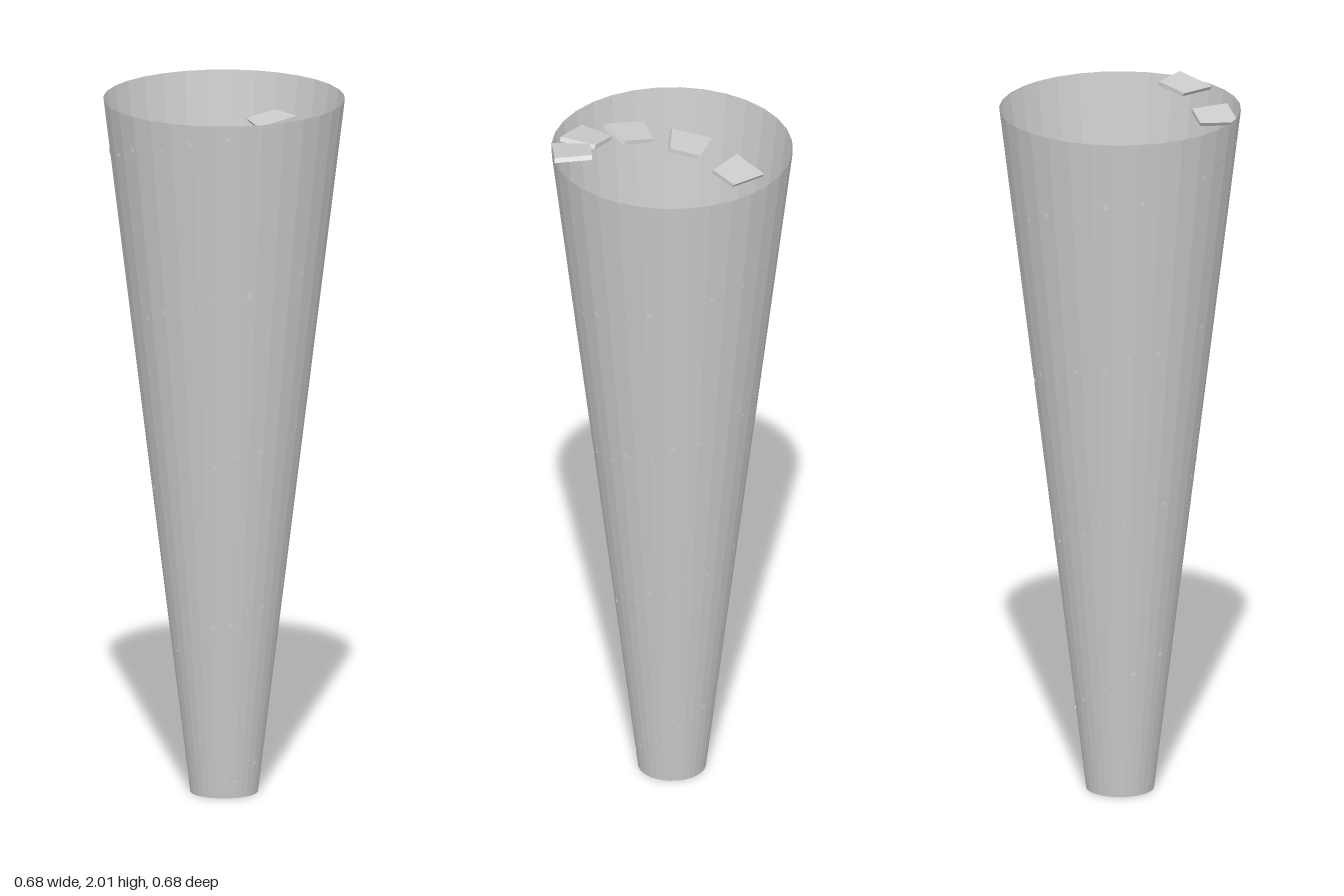
import * as THREE from 'three';

const TOP = 1.99, R_TOP = 0.338, R_BOTTOM = 0.095;
const STEPS = 43, RISE = 0.0462, TURN = THREE.MathUtils.degToRad(34.72);
const coneRadius = (y) => R_BOTTOM + (R_TOP - R_BOTTOM) * y / TOP;

// Wedge tread: a box reshaped so it widens outward, slopes along the spiral and leans at the base
function treadGeometry(radius) {
  const outer = radius * 0.984, inner = Math.max(outer - 0.106, 0.004);
  const geometry = new THREE.BoxGeometry(1, 1, 1);
  const p = geometry.attributes.position;
  for (let i = 0; i < p.count; i++) {
    const isOuter = p.getX(i) > 0, isTop = p.getY(i) > 0;
    const halfWidth = isOuter ? outer * 0.18 : inner * 0.2;
    const across = Math.sign(p.getZ(i)) * halfWidth;
    p.setXYZ(
      i,
      isOuter ? outer : inner,
      (isTop ? 0.003 : -0.008) - across * 0.17,
      across - (isTop ? 0 : 0.008)
    );
  }
  geometry.computeVertexNormals();
  return geometry;
}

export function createModel() {
  const group = new THREE.Group();
  const shellMaterial = new THREE.MeshStandardMaterial({
    color: 0xcccccc, flatShading: true, side: THREE.DoubleSide,
  });
  const treadMaterial = new THREE.MeshStandardMaterial({ color: 0xcccccc, flatShading: true });

  // Open-topped tapering shell
  const shell = new THREE.Mesh(
    new THREE.CylinderGeometry(R_TOP, R_BOTTOM, TOP, 32, 1, true), shellMaterial);
  shell.position.y = TOP / 2;
  shell.name = 'towerShell';
  group.add(shell);

  // Closed base
  const floor = new THREE.Mesh(new THREE.CircleGeometry(R_BOTTOM, 32), shellMaterial);
  floor.rotation.x = Math.PI / 2;
  floor.name = 'towerFloor';
  group.add(floor);

  // Spiral stair, counted from the top tread downward
  const stair = new THREE.Group();
  stair.name = 'spiralStair';
  const firstAngle = THREE.MathUtils.degToRad(37);
  for (let i = 0; i < STEPS; i++) {
    const y = 1.992 - i * RISE;
    const tread = new THREE.Mesh(treadGeometry(coneRadius(y)), treadMaterial);
    tread.position.y = y;
    tread.rotation.y = -(firstAngle + i * TURN);
    tread.name = 'stairTread';
    stair.add(tread);
  }
  group.add(stair);
  return group;
}
